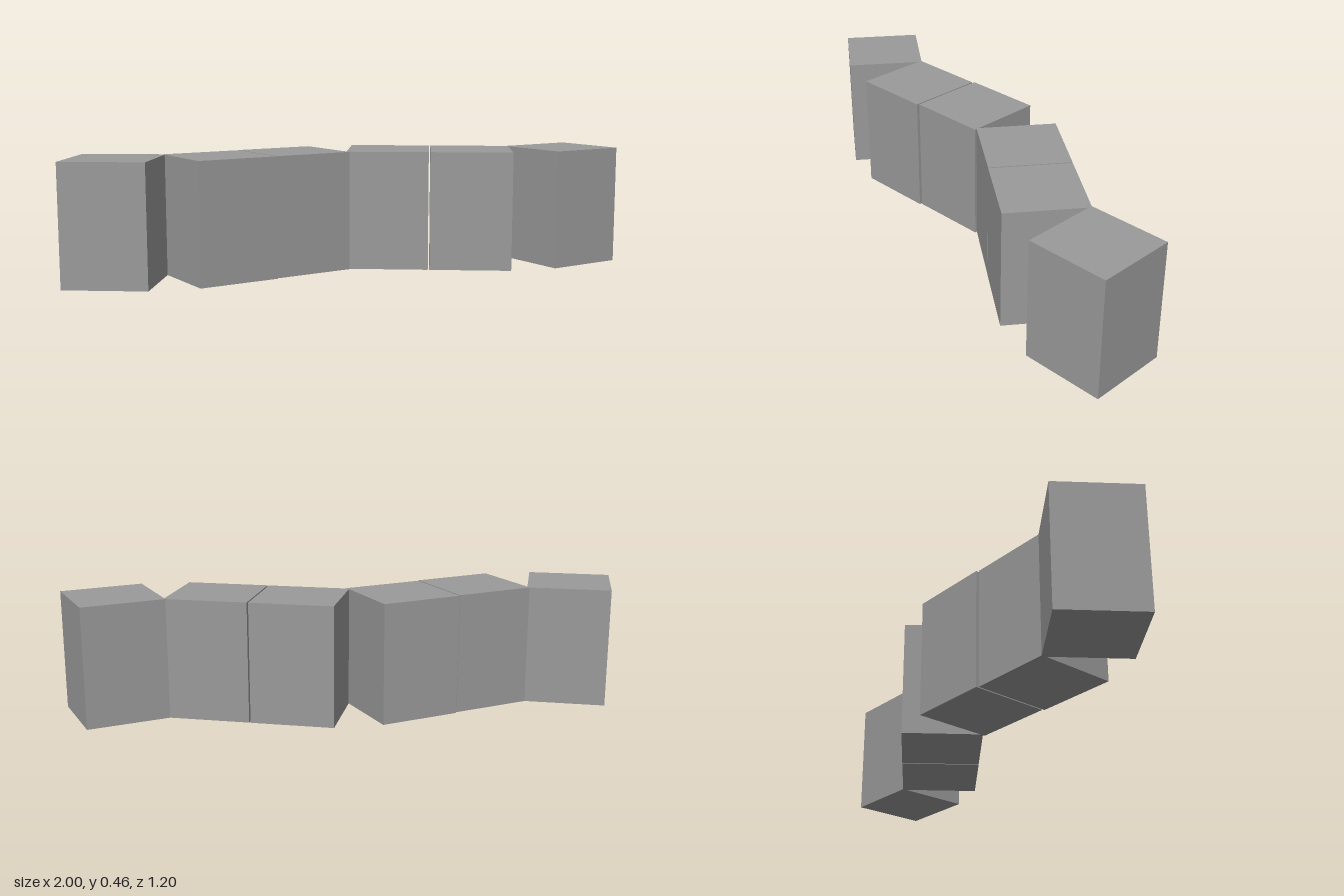
import * as THREE from 'three';

export function createModel() {
  const group = new THREE.Group();
  group.name = 'blockChain';
  const grey = new THREE.MeshStandardMaterial({ color: 0x9a9a9a });
  grey.name = 'grey';

  // One box shared by every block of the winding row
  const height = 0.462;
  const geometry = new THREE.BoxGeometry(0.319, height, 0.309);

  // Centre x, centre z and turn in degrees, from right to left
  const blocks = [
    [-0.82, 0.425, 7.5],
    [-0.47, 0.252, 44.5],
    [-0.243, 0.019, 44.5],
    [0.104, -0.162, 7.5],
    [0.426, -0.204, 7.5],
    [0.777, -0.378, 44.5],
  ];
  blocks.forEach(([x, z, turn], i) => {
    const block = new THREE.Mesh(geometry, grey);
    block.name = `block${i + 1}`;
    block.position.set(x, height / 2, z);
    block.rotation.y = THREE.MathUtils.degToRad(turn);
    group.add(block);
  });
  return group;
}
